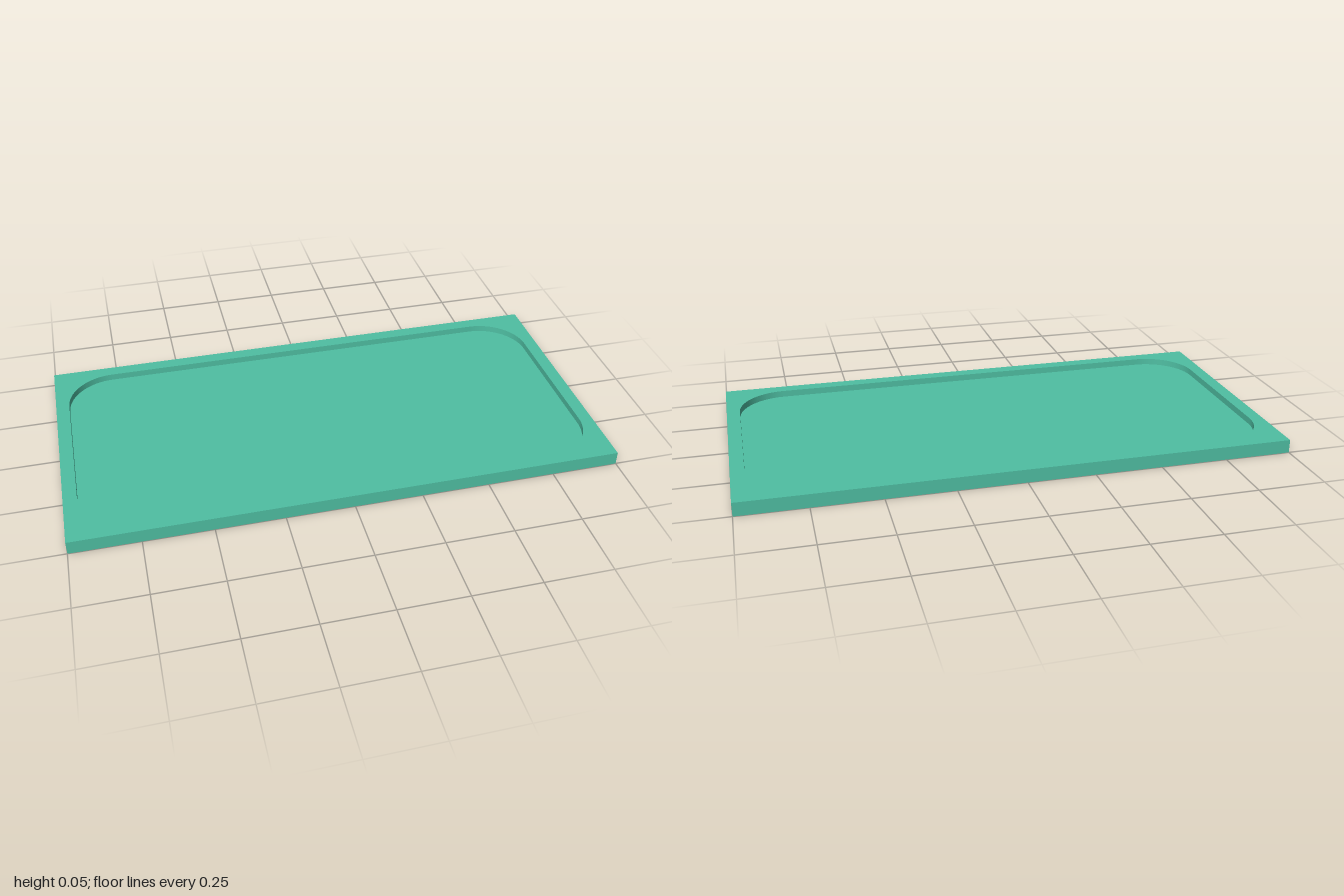
import * as THREE from 'three';
import { toCreasedNormals } from 'three/addons/utils/BufferGeometryUtils.js';

const HEIGHT = 0.05, FLOOR = 0.025;
const material = new THREE.MeshStandardMaterial({ color: 0x4fbfa3, side: THREE.DoubleSide });

// Rectangle outline with rounded corners, counter-clockwise
function outline(hx, hz, r, Type) {
  const s = new Type();
  if (r === 0) {
    s.moveTo(-hx, -hz).lineTo(hx, -hz).lineTo(hx, hz).lineTo(-hx, hz).closePath();
    return s;
  }
  const q = Math.PI / 2;
  s.absarc(hx - r, -hz + r, r, -q, 0);
  s.absarc(hx - r, hz - r, r, 0, q);
  s.absarc(-hx + r, hz - r, r, q, 2 * q);
  s.absarc(-hx + r, -hz + r, r, 2 * q, 3 * q);
  s.closePath();
  return s;
}

// Flat sheet facing up at height y
function sheet(shape, y) {
  return new THREE.ShapeGeometry(shape, 16).rotateX(-Math.PI / 2).translate(0, y, 0);
}

// Thin vertical wall following an outline; inward flips the facing
function wall(path, y0, y1, inward) {
  const pts = path.getPoints(16);
  const pos = [], index = [];
  pts.forEach((p, i) => {
    pos.push(p.x, y0, -p.y, p.x, y1, -p.y);
    if (i === pts.length - 1 || p.distanceTo(pts[i + 1]) < 1e-6) return;
    const a = 2 * i, b = a + 1, c = a + 2, d = a + 3;
    if (inward) index.push(a, d, c, a, b, d);
    else index.push(a, c, d, a, d, b);
  });
  const g = new THREE.BufferGeometry();
  g.setAttribute('position', new THREE.Float32BufferAttribute(pos, 3));
  g.setIndex(index);
  return toCreasedNormals(g, Math.PI / 6);
}

export function createModel() {
  const group = new THREE.Group();
  group.name = 'tray';
  const add = (name, geometry) => {
    const mesh = new THREE.Mesh(geometry, material);
    mesh.name = name;
    group.add(mesh);
  };

  // Top rim with the rounded opening
  const rim = outline(1, 0.5, 0, THREE.Shape);
  rim.holes.push(outline(0.95, 0.45, 0.18, THREE.Path));
  add('rim', sheet(rim, HEIGHT));

  // Outer skirt, open underneath
  add('skirt', wall(outline(1, 0.5, 0, THREE.Path), 0, HEIGHT, false));

  // Sunken basin: wall and floor
  add('basinWall', wall(outline(0.95, 0.45, 0.18, THREE.Path), FLOOR, HEIGHT, true));
  add('basinFloor', sheet(outline(0.95, 0.45, 0.18, THREE.Shape), FLOOR));

  return group;
}
